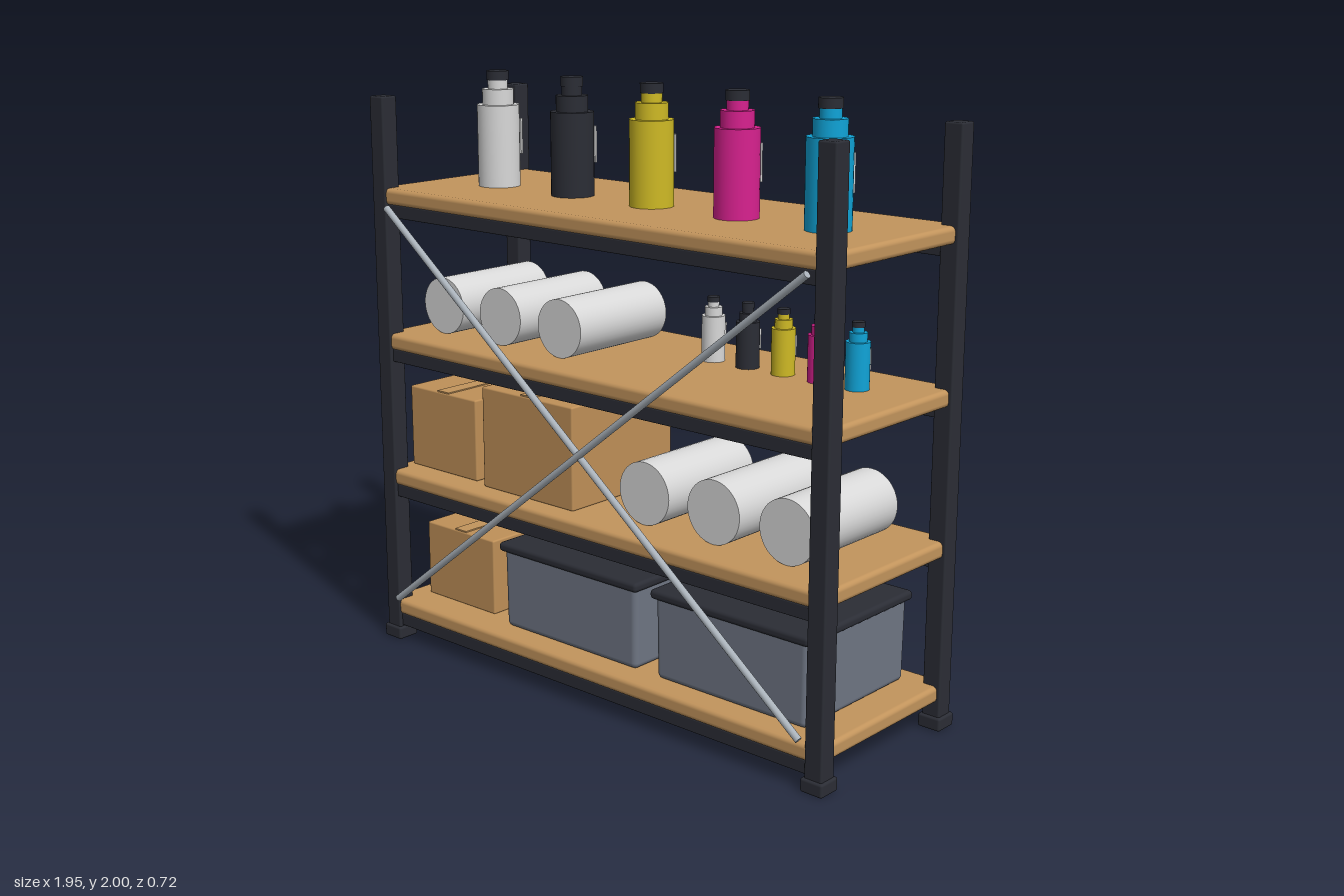
import * as THREE from 'three';
import { RoundedBoxGeometry } from 'three/addons/geometries/RoundedBoxGeometry.js';

const mat = (name, color) => {
  const m = new THREE.MeshStandardMaterial({ color });
  m.name = name;
  return m;
};

export function createModel() {
  const frame = mat('dark frame', 0x2b2d35);
  const wood = mat('wood', 0xc2945c);
  const card = mat('cardboard', 0xbf9058);
  const white = mat('white plastic', 0xd8d8d8);
  const steel = mat('steel', 0xaab2ba);
  const tubGrey = mat('tub grey', 0x6e7583);
  const yellow = mat('yellow', 0xcfba25);
  const magenta = mat('magenta', 0xd8218f);
  const cyan = mat('cyan', 0x10a4d8);

  const root = new THREE.Group();
  root.name = 'storageRack';
  const group = (name, parent = root) => {
    const g = new THREE.Group();
    g.name = name;
    parent.add(g);
    return g;
  };
  const add = (parent, name, geo, m, x, y, z) => {
    const mesh = new THREE.Mesh(geo, m);
    mesh.name = name;
    mesh.position.set(x, y, z);
    parent.add(mesh);
    return mesh;
  };
  // Box given by its extents; r rounds the edges
  const block = (parent, name, m, x0, x1, y0, y1, z0, z1, r = 0) => {
    const s = [x1 - x0, y1 - y0, z1 - z0];
    const geo = r ? new RoundedBoxGeometry(...s, 2, r) : new THREE.BoxGeometry(...s);
    return add(parent, name, geo, m, (x0 + x1) / 2, (y0 + y1) / 2, (z0 + z1) / 2);
  };

  // Posts with feet and rows of slots on the rear faces
  for (const x of [-0.932, 0.932]) {
    for (const z of [0.301, -0.318]) {
      const post = group('post');
      block(post, 'postBar', frame, x - 0.032, x + 0.032, 0.01, 1.92, z - 0.032, z + 0.032, 0.006);
      block(post, 'foot', frame, x - 0.041, x + 0.041, 0, 0.045, z - 0.041, z + 0.041, 0.008);
      for (let i = 0; i < 11; i++) {
        const y = 0.195 + i * 0.1475;
        block(post, 'slot', tubGrey, x - 0.011, x + 0.011, y - 0.017, y + 0.017, z - 0.036, z - 0.03);
      }
    }
  }

  // Shelves: rounded boards on front and rear beams
  const tops = [0.147, 0.628, 1.113, 1.614];
  for (const y of tops) {
    const shelf = group('shelf');
    block(shelf, 'board', wood, -0.953, 0.953, y - 0.055, y, -0.347, 0.328, 0.016);
    for (const z of [0.301, -0.318])
      block(shelf, 'beam', frame, -0.91, 0.91, y - 0.098, y - 0.053, z - 0.02, z + 0.02, 0.004);
  }

  // Crossed brace rods on the front
  const rodLength = Math.hypot(1.77, 1.39);
  [1, -1].forEach((s, i) => {
    const rod = add(root, 'braceRod', new THREE.CylinderGeometry(0.012, 0.012, rodLength, 12), steel, 0, 0.857, 0.342 + i * 0.006);
    rod.rotation.z = s * Math.atan2(1.77, 1.39);
  });

  // Bottles: stepped cylinders with a label on the rear
  const bottle = (name, m, x, y, z, r, h) => {
    const g = group(name);
    const ring = (part, mt, rad, a, b) =>
      add(g, part, new THREE.CylinderGeometry(rad, rad, (b - a) * h, 32), mt, x, y + (a + b) / 2 * h, z);
    ring('body', m, r, 0, 0.71);
    ring('shoulder', m, r * 0.74, 0.71, 0.845);
    ring('neck', m, r * 0.47, 0.845, 0.93);
    ring('cap', frame, r * 0.52, 0.92, 1);
    block(g, 'label', white, x - r * 0.56, x + r * 0.56, y + h * 0.27, y + h * 0.58, z - r - 0.003, z - r + 0.005);
  };
  [white, frame, yellow, magenta, cyan].forEach((m, i) => {
    bottle('largeBottle', m, -0.675 + i * 0.346, tops[3], 0.016, 0.071, 0.386);
    bottle('smallBottle', m, 0.167 + i * 0.142, tops[2], -0.115, 0.038, 0.21);
  });

  // Rolls lying front to back, with a cardboard core at the rear
  const roll = (x, y, r, z0, z1) => {
    const g = group('roll');
    const disc = (name, m, rad, a, b) => {
      const c = add(g, name, new THREE.CylinderGeometry(rad, rad, b - a, 40), m, x, y + r, (a + b) / 2);
      c.rotation.x = Math.PI / 2;
    };
    disc('wrap', white, r, z0, z1);
    disc('core', card, r * 0.46, z0 - 0.005, z0 + 0.01);
    disc('coreHole', frame, r * 0.34, z0 - 0.008, z0 + 0.005);
  };
  for (let i = 0; i < 3; i++) {
    roll(-0.772 + i * 0.275, tops[2], 0.097, -0.217, 0.197);
    roll(0.151 + i * 0.285, tops[1], 0.104, -0.222, 0.202);
  }

  // Cardboard boxes with tape and a barcode label
  const carton = (x0, x1, y0, y1, z0, z1, lx, ly) => {
    const g = group('carton');
    const cx = (x0 + x1) / 2;
    block(g, 'box', card, x0, x1, y0, y1, z0, z1, 0.006);
    block(g, 'topTape', wood, cx - 0.028, cx + 0.028, y1 - 0.003, y1 + 0.004, z0 - 0.003, z1 - 0.003);
    block(g, 'rearTape', wood, cx - 0.028, cx + 0.028, y1 - 0.09, y1 + 0.004, z0 - 0.004, z0 + 0.003);
    block(g, 'label', white, lx - 0.048, lx + 0.048, ly - 0.04, ly + 0.04, z0 - 0.005, z0 + 0.002);
    [0.012, 0.005, 0.009, 0.005, 0.012].forEach((w, i) => {
      const bx = lx - 0.03 + i * 0.015;
      block(g, 'bar', frame, bx - w / 2, bx + w / 2, ly - 0.026, ly + 0.026, z0 - 0.007, z0 - 0.004);
    });
  };
  carton(-0.878, -0.543, tops[0], 0.415, -0.23, 0.207, -0.755, 0.275);
  carton(-0.915, -0.587, tops[1], 0.913, -0.215, 0.235, -0.805, 0.765);
  carton(-0.529, -0.111, tops[1], 0.977, -0.228, 0.257, -0.4, 0.805);

  // Lidded tubs, slightly tapered, with rear handle and label
  for (const x of [-0.142, 0.542]) {
    const g = group('tub');
    const body = new RoundedBoxGeometry(0.605, 0.285, 0.522, 3, 0.02);
    const p = body.attributes.position;
    for (let i = 0; i < p.count; i++) {
      const k = 0.99 + 0.035 * p.getY(i);
      p.setX(i, p.getX(i) * k);
      p.setZ(i, p.getZ(i) * k);
    }
    add(g, 'tubBody', body, tubGrey, x, tops[0] + 0.1425, -0.008);
    block(g, 'lid', frame, x - 0.313, x + 0.313, 0.417, 0.449, -0.283, 0.266, 0.013);
    block(g, 'handle', frame, x - 0.1, x + 0.1, 0.364, 0.392, -0.292, -0.25, 0.008);
    block(g, 'label', white, x - 0.145, x + 0.145, 0.255, 0.35, -0.274, -0.265);
  }
  return root;
}
